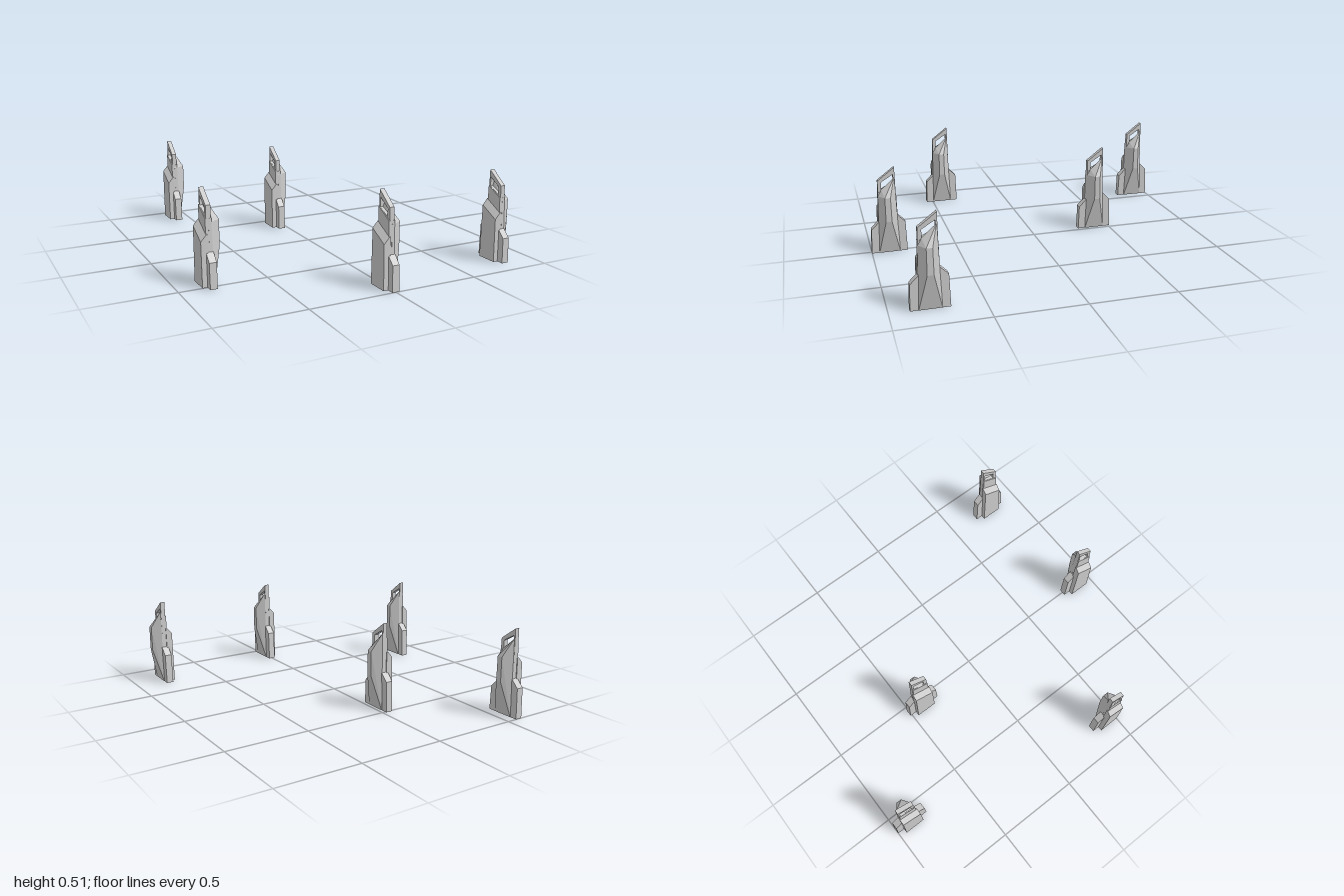
import * as THREE from 'three';
import { ConvexGeometry } from 'three/addons/geometries/ConvexGeometry.js';

const material = new THREE.MeshStandardMaterial({ color: 0xcccccc, flatShading: true });

// Extrudes a side profile of [z, y] points between two x positions.
function sidePlate(outline, x0, x1, hole) {
  const toVectors = (pts) => pts.map(([z, y]) => new THREE.Vector2(z, y));
  const shape = new THREE.Shape(toVectors(outline));
  if (hole) shape.holes.push(new THREE.Path(toVectors(hole)));
  const geometry = new THREE.ExtrudeGeometry(shape, { depth: x1 - x0, bevelEnabled: false });
  return geometry.rotateY(-Math.PI / 2).translate(x1, 0, 0);
}

// Faceted solid around [x, y, z] corners.
const solid = (corners) => new ConvexGeometry(corners.map((c) => new THREE.Vector3(...c)));

const parts = {
  // Broad foot with sloping shoulders
  shoulderBase: sidePlate(
    [[0.105, 0], [0.1, 0.145], [0.055, 0.19], [-0.055, 0.225], [-0.1, 0.18], [-0.105, 0]],
    -0.02, 0.021),

  // Upright core with a slanted top
  core: sidePlate(
    [[0.06, 0], [0.055, 0.19], [0.05, 0.37], [-0.051, 0.425], [-0.055, 0.225], [-0.06, 0]],
    -0.018, 0.017),

  // Slanted loop at the top
  handle: sidePlate(
    [[0.051, 0.3], [0.048, 0.44], [-0.052, 0.515], [-0.054, 0.3]],
    -0.013, 0.014,
    [[0.028, 0.386], [0.028, 0.43], [-0.042, 0.473], [-0.042, 0.421]]),

  // Slab on one face with a bevelled, slanted top
  backSlab: solid([
    [-0.048, 0, 0.063], [-0.048, 0, -0.063], [-0.01, 0, 0.063], [-0.01, 0, -0.063],
    [-0.048, 0.25, 0.058], [-0.048, 0.31, -0.058],
    [-0.018, 0.285, 0.058], [-0.018, 0.345, -0.058],
    [-0.01, 0.285, 0.058], [-0.01, 0.345, -0.058],
  ]),

  // Faceted bulge with a flat ridge on the other face
  bulge: solid([
    [0, 0, 0.061], [0, 0, -0.061], [0.022, 0, 0.061], [0.022, 0, -0.061],
    [0.07, 0.205, 0.017], [0.07, 0.205, -0.017],
    [0.07, 0.35, 0.016], [0.07, 0.35, -0.016],
    [0.016, 0.35, 0.051], [0.016, 0.42, -0.051],
    [0.014, 0.385, 0.03], [0.014, 0.455, -0.048],
    [0, 0.35, 0.051], [0, 0.42, -0.051],
  ]),
};

// Ground positions [x, z] of the markers
const positions = [
  [-0.58, -0.895], [-0.042, -0.405], [-0.821, 0.437], [-0.001, 0.895], [0.803, 0.787],
];

export function createModel() {
  const model = new THREE.Group();
  model.name = 'markers';
  positions.forEach(([x, z], i) => {
    const marker = new THREE.Group();
    marker.name = `marker${i + 1}`;
    for (const [name, geometry] of Object.entries(parts)) {
      const mesh = new THREE.Mesh(geometry, material);
      mesh.name = name;
      marker.add(mesh);
    }
    marker.position.set(x, 0, z);
    model.add(marker);
  });
  return model;
}
